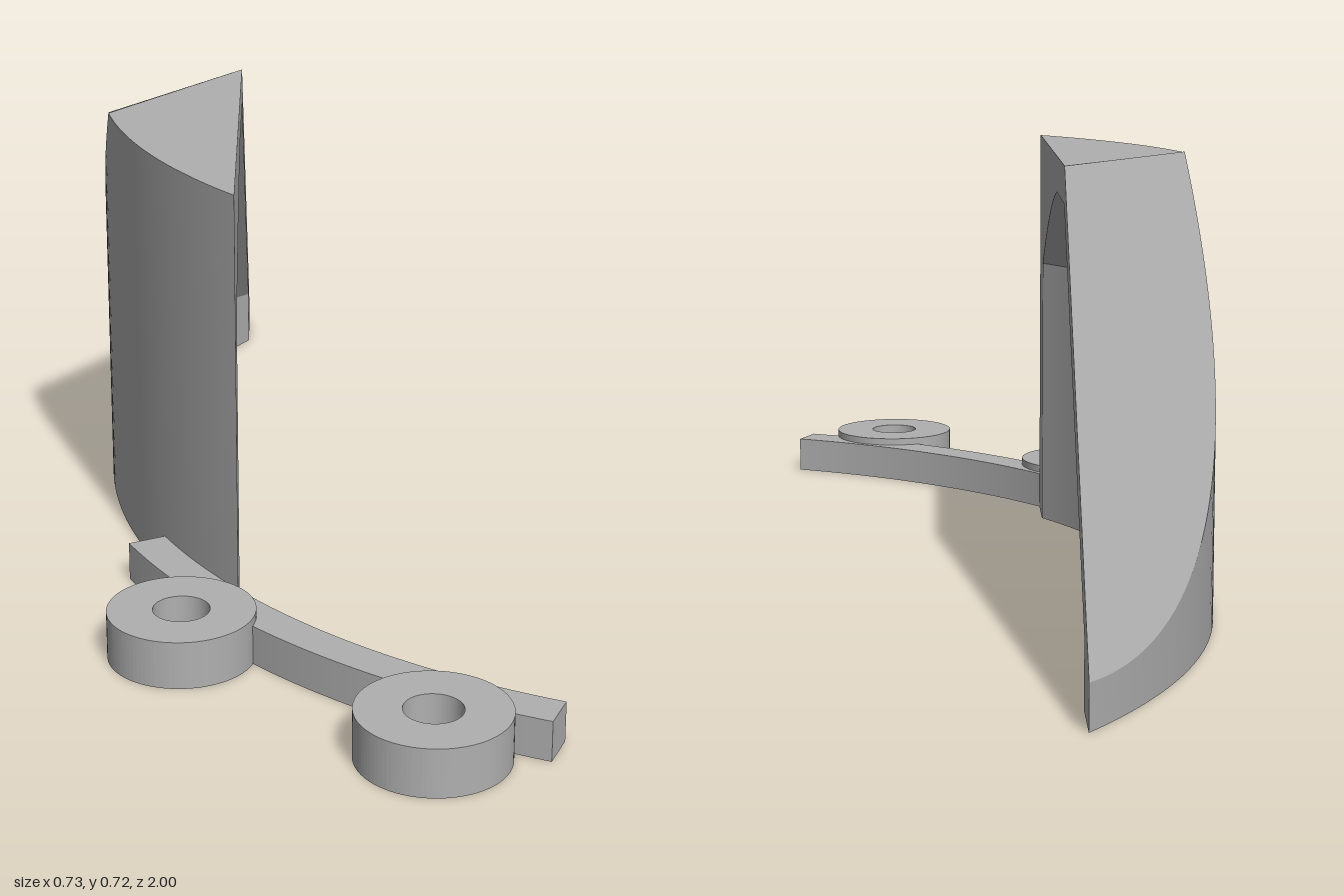
import * as THREE from 'three';

const grey = new THREE.MeshStandardMaterial({ color: 0xb0b0b0, side: THREE.DoubleSide });
grey.name = 'plain grey';

// All curved parts share one vertical axis
const CX = 0.845, CZ = -0.27, FACE = -0.12;
const R_OUT = 1.21, R_IN = 1.15, R_FLAT = 0.977, CHORD = CX - FACE;
const END_OUT = Math.acos(CHORD / R_OUT), END_IN = Math.acos(CHORD / R_IN);
const TOP_SPLIT = 0.195, WALL_SPLIT = 0.0157, FLAT_START = -0.0574;
const FLAT_END = Math.acos(CHORD / R_FLAT);

const polar = (r, a) => [CX - r * Math.cos(a), CZ + r * Math.sin(a)];
const range = (a, b, n = 40) => Array.from({ length: n + 1 }, (_, i) => a + (b - a) * i / n);
const arc = (r, a, b, n) => range(a, b, n).map(t => polar(r, t));

// Heights of the sloped roof, outside and inside
const slope = (x, z) => 0.72 + 1.41 * (x - FACE) + z + 0.35;
const innerSlope = (x, z) => 0.66 + 1.41 * (x - FACE) + z + 0.34;

function part(name, geometry) {
  const mesh = new THREE.Mesh(geometry, grey);
  mesh.name = name;
  return mesh;
}

// Flat outline whose points are placed in space by a rule
function panel(name, outline, place) {
  const g = new THREE.ShapeGeometry(new THREE.Shape(outline.map(p => new THREE.Vector2(...p))));
  const pos = g.attributes.position;
  for (let i = 0; i < pos.count; i++) pos.setXYZ(i, ...place(pos.getX(i), pos.getY(i)));
  g.computeVertexNormals();
  return part(name, g);
}

// Smooth sheet between two rows of points
function sheet(name, rowA, rowB) {
  const g = new THREE.BufferGeometry(), index = [], n = rowA.length;
  g.setAttribute('position', new THREE.Float32BufferAttribute([...rowA, ...rowB].flat(), 3));
  for (let i = 0; i < n - 1; i++) index.push(i, i + 1, n + i, i + 1, n + i + 1, n + i);
  g.setIndex(index);
  g.computeVertexNormals();
  return part(name, g);
}

function wall(name, r, end, split, height) {
  const pts = [...arc(r, -end, split), ...arc(r, split, end).slice(1)];
  return sheet(name, pts.map(([x, z]) => [x, 0, z]), pts.map(([x, z]) => [x, height(x, z), z]));
}

// Horizontal outline extruded upwards from the ground
function slab(name, shape, height) {
  const g = new THREE.ExtrudeGeometry(shape, { depth: height, bevelEnabled: false, curveSegments: 48 });
  g.rotateX(Math.PI / 2).translate(0, height, 0);
  return part(name, g);
}

function makeHood() {
  const hood = new THREE.Group();
  hood.name = 'hood';

  // Curved walls
  hood.add(wall('outerWall', R_OUT, END_OUT, TOP_SPLIT, (x, z) => Math.min(0.72, slope(x, z))));
  hood.add(wall('innerWall', R_IN, END_IN, WALL_SPLIT, (x, z) => Math.min(0.487, innerSlope(x, z))));

  // Roof
  hood.add(panel('flatRoof', [[FACE, -0.35], ...arc(R_OUT, TOP_SPLIT, END_OUT)], (x, z) => [x, 0.72, z]));
  hood.add(panel('slopedRoof', [[FACE, -0.35], ...arc(R_OUT, TOP_SPLIT, -END_OUT)],
    (x, z) => [x, slope(x, z), z]));

  // Ceiling: flat patch, sloped patch and conical flare
  hood.add(panel('flatCeiling', [[FACE, -0.34], ...arc(R_FLAT, FLAT_START, FLAT_END, 12)],
    (x, z) => [x, 0.66, z]));
  hood.add(panel('slopedCeiling',
    [[FACE, -0.34], polar(R_FLAT, FLAT_START), ...arc(R_IN, WALL_SPLIT, -END_IN)],
    (x, z) => [x, innerSlope(x, z), z]));
  const flare = (r, a) => {
    const [x, z] = polar(r, a);
    return [x, 0.487 + R_IN - r, z];
  };
  hood.add(sheet('flaredCeiling',
    range(WALL_SPLIT, END_IN).map(a => flare(R_IN, a)),
    range(FLAT_START, END_IN).map(a => flare(Math.max(R_FLAT, CHORD / Math.cos(a)), a))));

  // Rim around the opening, drawn in z and y
  const zIn = R_IN * Math.sin(END_IN);
  const archCurve = range(FLAT_END, END_IN, 24).map(a =>
    [CZ + CHORD * Math.tan(a), 0.487 + R_IN - CHORD / Math.cos(a)]);
  hood.add(panel('openingRim', [
    [0.46, 0], [0.46, 0.72], [-0.35, 0.72], [-1, 0.07], [-1, 0],
    [CZ - zIn, 0], [CZ - zIn, innerSlope(FACE, CZ - zIn)], [-0.34, 0.66],
    ...archCurve, [CZ + zIn, 0],
  ], (z, y) => [FACE, y, z]));

  // Underside of the wall
  hood.add(panel('wallBase', [...arc(R_OUT, -END_OUT, END_OUT), ...arc(R_IN, END_IN, -END_IN)],
    (x, z) => [x, 0, z]));
  return hood;
}

export function createModel() {
  const model = new THREE.Group();
  model.name = 'hoodWithBracket';
  model.add(makeHood());

  // Curved mounting strip
  const a0 = 0.447, a1 = 1.161;
  const strip = new THREE.Shape([...arc(1.21, a0, a1), ...arc(1.275, a1, a0)]
    .map(p => new THREE.Vector2(...p)));
  model.add(slab('mountingStrip', strip, 0.065));

  // Mounting rings
  for (const [x, z] of [[-0.207, 0.555], [0.167, 0.883]]) {
    const ring = new THREE.Shape().absarc(0, 0, 0.117, 0, Math.PI * 2);
    ring.holes.push(new THREE.Path().absarc(0, 0, 0.045, 0, Math.PI * 2, true));
    const mesh = slab('mountingRing', ring, 0.078);
    mesh.position.set(x, 0, z);
    model.add(mesh);
  }
  return model;
}
